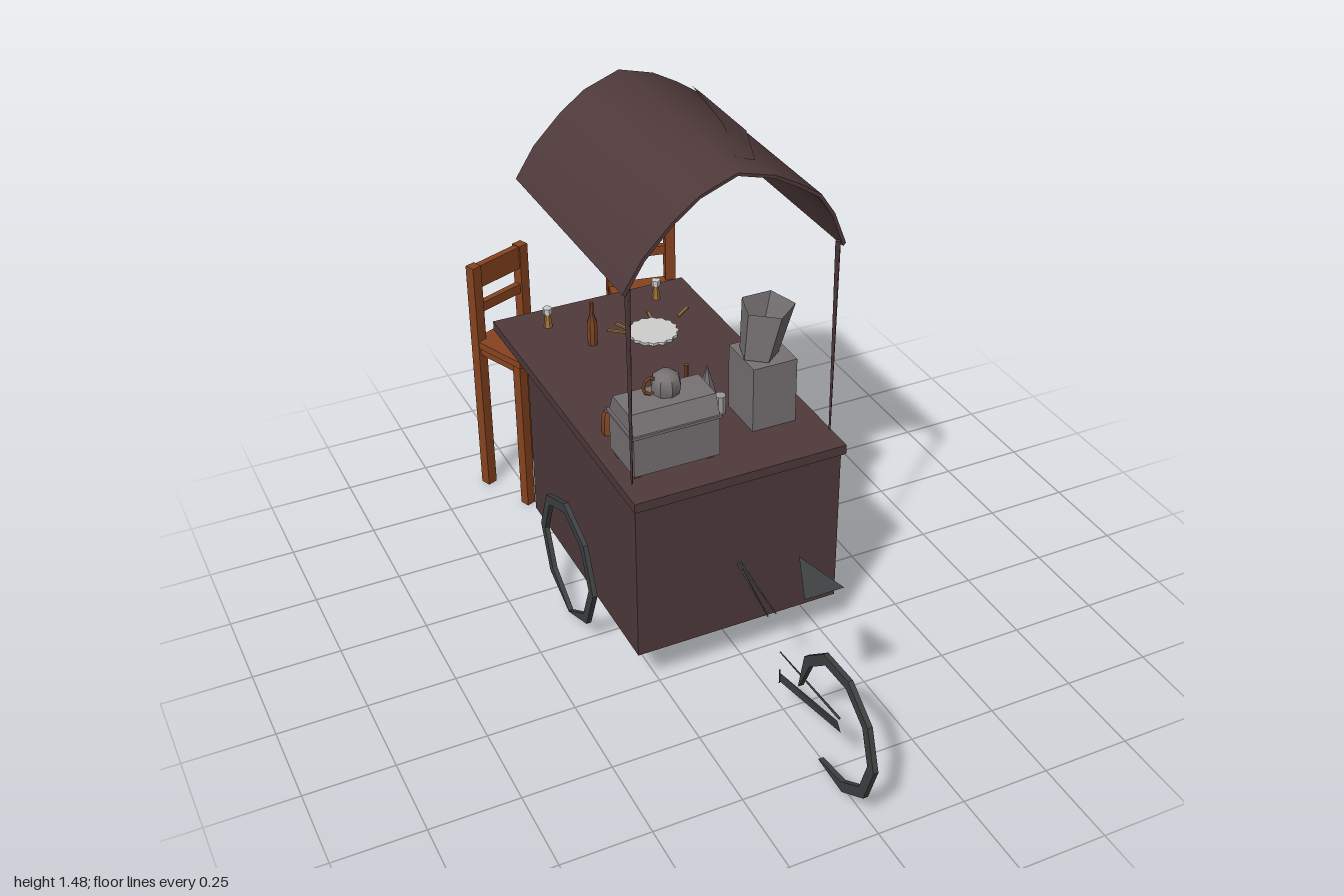
import * as THREE from 'three';
import { toCreasedNormals } from 'three/addons/utils/BufferGeometryUtils.js';

const mat = (name, color) => new THREE.MeshStandardMaterial({ name, color, side: THREE.DoubleSide });
const V = (x, y, z) => new THREE.Vector3(x, y, z);

export function createModel() {
  const root = new THREE.Group();
  const cartPaint = mat('cartPaint', 0x503a3b);
  const wood = mat('wood', 0x87431f);
  const iron = mat('iron', 0x3e4142);
  const metal = mat('metal', 0x777273);
  const glass = mat('glass', 0x9a9c9c);
  const china = mat('china', 0xcfcfcd);
  const amber = mat('amber', 0x7a4424);
  const brass = mat('brass', 0xa0743a);

  const add = (name, geo, material, x = 0, y = 0, z = 0, parent = root) => {
    const m = new THREE.Mesh(geo, material);
    m.name = name;
    m.position.set(x, y, z);
    parent.add(m);
    return m;
  };
  // box given by its minimum and maximum corners
  const box = (name, material, x0, x1, y0, y1, z0, z1, parent = root) =>
    add(name, new THREE.BoxGeometry(x1 - x0, y1 - y0, z1 - z0), material,
      (x0 + x1) / 2, (y0 + y1) / 2, (z0 + z1) / 2, parent);
  // thin tapered rod between two points
  const rod = (name, material, a, b, ra, rb, sides = 4, parent = root) => {
    const m = add(name, new THREE.CylinderGeometry(rb, ra, a.distanceTo(b), sides), material, 0, 0, 0, parent);
    m.position.copy(a).lerp(b, 0.5);
    m.quaternion.setFromUnitVectors(V(0, 1, 0), b.clone().sub(a).normalize());
    return m;
  };
  // strip of faces between two edges
  const strip = (name, material, left, right) => {
    const pts = [], idx = [];
    left.forEach((p, i) => {
      pts.push(p, right[i]);
      if (i) idx.push(2 * i - 2, 2 * i, 2 * i - 1, 2 * i - 1, 2 * i, 2 * i + 1);
    });
    const g = new THREE.BufferGeometry().setFromPoints(pts);
    g.setIndex(idx);
    const flat = g.toNonIndexed();
    flat.computeVertexNormals();
    return add(name, flat, material);
  };
  const turned = (name, material, profile, x, z, sides = 10, y = 0.636) =>
    add(name, toCreasedNormals(new THREE.LatheGeometry(profile.map(p => new THREE.Vector2(...p)), sides), 0.7),
      material, x, y, z);

  // cart body and overhanging counter
  box('cartBody', cartPaint, -0.32, 0.28, 0.13, 0.61, -0.475, 0.27);
  box('counterTop', cartPaint, -0.325, 0.29, 0.608, 0.636, -0.74, 0.28);

  // arched canopy
  const arc = [[-0.325, 1.22], [-0.27, 1.305], [-0.19, 1.385], [-0.12, 1.437], [-0.02, 1.475],
    [0.08, 1.448], [0.15, 1.41], [0.21, 1.37], [0.25, 1.31], [0.285, 1.22]];
  const inner = arc.map(([x, y]) => [-0.02 + (x + 0.02) * 0.975, y - 0.008]).reverse();
  const canopyShape = new THREE.Shape([...arc, ...inner].map(p => new THREE.Vector2(...p)));
  add('canopy', toCreasedNormals(
    new THREE.ExtrudeGeometry(canopyShape, { depth: 0.7, bevelEnabled: false }), 0.65), cartPaint, 0, 0, -0.465);
  strip('canopyFold', cartPaint,
    [V(0.19, 1.395, -0.45), V(0.11, 1.437, -0.1), V(0.02, 1.466, 0.14)],
    [V(0.215, 1.372, -0.44), V(0.2, 1.384, -0.15), V(0.07, 1.454, 0.15)]);
  for (const x of [-0.307, 0.268])
    rod('canopyPole', cartPaint, V(x, 0.66, 0.225), V(x, 1.225, 0.225), 0.003, 0.008);

  // angular wheel rims that taper away at their open ends
  const wheel = (name, x, z, start, sweep) => {
    const n = 8, out = [], inn = [];
    for (let i = 0; i <= n; i++) {
      const a = start + sweep * i / n;
      const r = 0.19 - (i === 0 || i === n ? 0.004 : 0.03);
      out.push(new THREE.Vector2(Math.cos(a) * 0.19, Math.sin(a) * 0.19));
      inn.unshift(new THREE.Vector2(Math.cos(a) * r, Math.sin(a) * r));
    }
    const g = new THREE.ExtrudeGeometry(new THREE.Shape([...out, ...inn]), { depth: 0.014, bevelEnabled: false });
    g.translate(0, 0, -0.007);
    g.rotateY(-Math.PI / 2);
    add(name, g, iron, x, 0.212, z);
  };
  wheel('rightWheel', -0.364, -0.105, -Math.PI / 2, Math.PI * 2);
  wheel('leftWheel', 0.322, -0.105, -Math.PI / 2, Math.PI * 2);
  wheel('frontWheel', -0.02, 0.81, -1.95, 5.2);

  // fork, steering rods and saddle
  strip('fork', iron, [V(-0.026, 0.235, 0.82), V(-0.02, 0.145, 0.51)], [V(-0.014, 0.19, 0.82), V(-0.02, 0.115, 0.51)]);
  rod('forkRod', iron, V(-0.02, 0.24, 0.82), V(-0.02, 0.215, 0.51), 0.004, 0.002);
  rod('forkEnd', iron, V(-0.02, 0.11, 0.51), V(-0.02, 0.155, 0.51), 0.002, 0.002);
  for (const s of [-1, 1])
    rod('steeringRod', iron, V(-0.02 + s * 0.003, 0.34, 0.27), V(-0.02 + s * 0.012, 0.302, 0.46), 0.004, 0.002);
  strip('saddle', iron, [V(-0.075, 0.562, 0.72), V(-0.02, 0.585, 0.59)], [V(0.035, 0.562, 0.72), V(-0.02, 0.585, 0.59)]);

  // two high chairs
  const chair = (name, x, z, turn) => {
    const c = new THREE.Group();
    c.name = name;
    c.position.set(x, 0, z);
    c.rotation.y = turn;
    for (const s of [-1, 1]) {
      box('frontLeg', wood, s * 0.09 - 0.015, s * 0.09 + 0.015, 0, 0.5, 0.07, 0.1, c);
      box('backLeg', wood, s * 0.094 - 0.016, s * 0.094 + 0.016, 0, 0.775, -0.105, -0.073, c);
      box('sideApron', wood, s * 0.092 - 0.01, s * 0.092 + 0.01, 0.478, 0.502, -0.08, 0.08, c);
    }
    box('seat', wood, -0.108, 0.108, 0.502, 0.525, -0.1, 0.105, c);
    box('topRail', wood, -0.1, 0.1, 0.7, 0.772, -0.1, -0.078, c);
    box('middleRail', wood, -0.1, 0.1, 0.615, 0.645, -0.1, -0.08, c);
    root.add(c);
  };
  chair('rightChair', -0.219, -0.797, 0.39);
  chair('leftChair', 0.232, -0.872, -0.2);

  // cooker with a sloping lid, standing on little feet
  const cookerSide = new THREE.Shape([[0.19, 0.65], [0.19, 0.77], [0.165, 0.825], [0.06, 0.825], [0.035, 0.77], [0.035, 0.65]]
    .map(([z, y]) => new THREE.Vector2(-z, y)));
  const cookerGeo = new THREE.ExtrudeGeometry(cookerSide, { depth: 0.245, bevelEnabled: false });
  cookerGeo.rotateY(Math.PI / 2);
  add('cooker', cookerGeo, metal, -0.285, 0, 0);
  box('cookerLidEdge', metal, -0.292, -0.035, 0.765, 0.773, 0.03, 0.194);
  for (const x of [-0.27, -0.06])
    for (const z of [0.06, 0.165]) box('cookerFoot', amber, x - 0.01, x + 0.01, 0.636, 0.652, z - 0.01, z + 0.01);

  // kettle on the cooker
  turned('kettle', metal, [[0, 0], [0.036, 0], [0.042, 0.025], [0.036, 0.05], [0.02, 0.062], [0, 0.064]], -0.152, 0.1, 8, 0.823);
  const handle = add('kettleHandle', new THREE.TorusGeometry(0.024, 0.006, 4, 8), amber, -0.197, 0.853, 0.1);
  handle.scale.x = 0.8;

  // grinder with a flared, leaning hopper
  box('grinderBase', metal, 0.095, 0.225, 0.636, 0.83, -0.03, 0.115);
  const hopper = new THREE.CylinderGeometry(0.098, 0.072, 0.14, 5, 1, true).toNonIndexed();
  const hp = hopper.attributes.position;
  for (let i = 0; i < hp.count; i++) {
    const t = hp.getY(i) / 0.14 + 0.5;
    hp.setX(i, hp.getX(i) * 0.75 + 0.025 * t);
    hp.setZ(i, hp.getZ(i) * 0.82);
  }
  hopper.computeVertexNormals();
  add('hopper', hopper, metal, 0.145, 0.903, 0.045);
  add('hopperFloor', new THREE.CylinderGeometry(0.05, 0.05, 0.006, 5), metal, 0.15, 0.835, 0.045);

  // bottles, cones and jars along the middle of the counter
  const bottle = [[0, 0], [0.015, 0], [0.016, 0.07], [0.006, 0.1], [0.006, 0.138], [0, 0.14]];
  turned('sauceBottle', amber, bottle, -0.012, -0.07, 8);
  turned('tallBottle', amber, [[0, 0], [0.018, 0], [0.018, 0.12], [0.012, 0.15], [0, 0.155]], 0.15, -0.075, 8);
  turned('metalCone', metal, [[0, 0], [0.026, 0], [0.022, 0.05], [0, 0.128]], 0.045, -0.06, 6);
  turned('smallJar', glass, [[0, 0], [0.016, 0], [0.016, 0.055], [0, 0.055]], 0.06, -0.01, 8);
  for (const [x, z] of [[0.2, -0.075], [0.2, -0.115]])
    turned('glassJar', glass, [[0, 0], [0.018, 0], [0.018, 0.1], [0.012, 0.115], [0, 0.115]], x, z, 8);
  [-0.25, -0.185, -0.115, -0.06].forEach((x, i) =>
    turned('spiceJar', amber, [[0, 0], [0.022, 0], [0.022, 0.05], [0.014, 0.07], [0, 0.07]], x, -0.05 - 0.02 * (i % 2), 6));

  // plate with a scalloped edge
  const scallop = new THREE.Shape(Array.from({ length: 32 }, (_, i) => {
    const a = i / 32 * Math.PI * 2, r = i % 2 ? 0.07 : 0.077;
    return new THREE.Vector2(Math.cos(a) * r, Math.sin(a) * r);
  }));
  const plate = add('plate', new THREE.ExtrudeGeometry(scallop, { depth: 0.008, bevelEnabled: false }), china, 0.07, 0.638, -0.472);
  plate.rotation.x = -Math.PI / 2;

  // table bottle, shakers and cutlery
  turned('tableBottle', amber, bottle, -0.11, -0.495, 8);
  for (const [x, z] of [[-0.19, -0.64], [0.165, -0.655]]) {
    turned('shaker', brass, [[0, 0], [0.013, 0], [0.008, 0.045], [0, 0.045]], x, z, 6);
    turned('shakerCap', china, [[0, 0.045], [0.013, 0.045], [0.014, 0.064], [0, 0.066]], x, z, 6);
  }
  for (const [x, z, turn] of [[0.005, -0.535, 0.4], [-0.02, -0.52, 0.9], [0.2, -0.54, -0.9], [0.1, -0.555, -0.2]]) {
    const m = add('cutlery', new THREE.BoxGeometry(0.008, 0.005, 0.06), brass, x, 0.641, z);
    m.rotation.y = turn;
  }
  return root;
}
